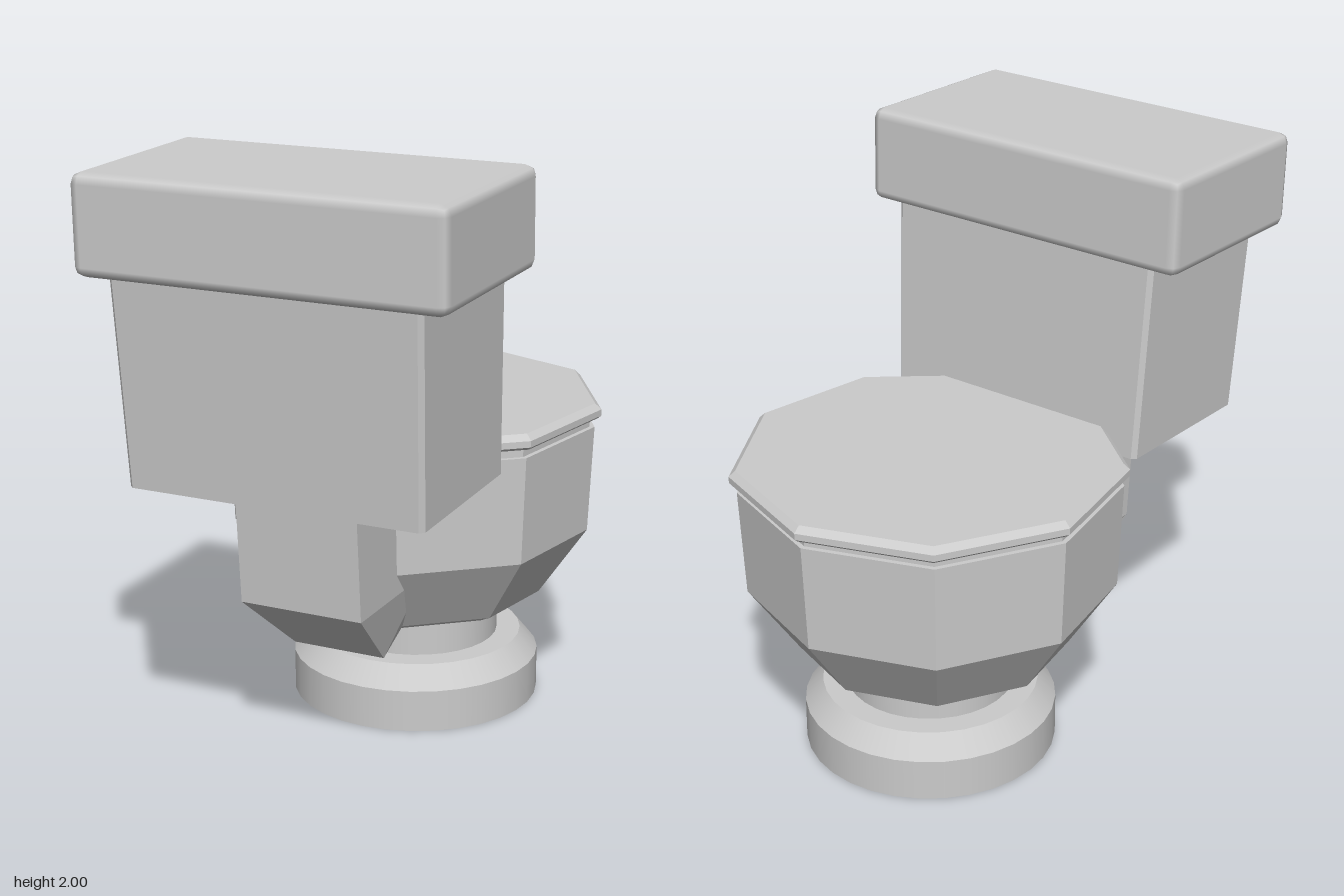
import * as THREE from 'three';
import { RoundedBoxGeometry } from 'three/addons/geometries/RoundedBoxGeometry.js';

// Skin a stack of closed rings (bottom to top, counter-clockwise from above) and cap both ends
function loft(rings) {
  const pos = [];
  const tri = (...pts) => pts.forEach((p) => pos.push(...p));
  const centre = (ring) => [0, 1, 2].map((k) => ring.reduce((s, p) => s + p[k], 0) / ring.length);
  const n = rings[0].length;
  const low = rings[0], top = rings[rings.length - 1];
  const cLow = centre(low), cTop = centre(top);
  for (let i = 0; i < n; i++) {
    const k = (i + 1) % n;
    for (let j = 0; j < rings.length - 1; j++) {
      const lo = rings[j], hi = rings[j + 1];
      tri(lo[i], lo[k], hi[k], lo[i], hi[k], hi[i]);
    }
    tri(cLow, low[k], low[i], cTop, top[i], top[k]);
  }
  const geo = new THREE.BufferGeometry();
  geo.setAttribute('position', new THREE.Float32BufferAttribute(pos, 3));
  geo.computeVertexNormals();
  return geo;
}

// Nine-sided ring with one corner pointing to the bowl's tip (-z)
const nonagon = (r, y, cz) => Array.from({ length: 9 }, (_, i) => {
  const a = (i / 9) * Math.PI * 2;
  return [-r * Math.sin(a), y, cz - r * Math.cos(a)];
});

// Rectangle with clipped corners; y may differ between the z0 and z1 edges
function clippedRect(x0, x1, z0, z1, y0, y1, c) {
  const outline = [
    [x0 + c, z1], [x1 - c, z1], [x1, z1 - c], [x1, z0 + c],
    [x1 - c, z0], [x0 + c, z0], [x0, z0 + c], [x0, z1 - c],
  ];
  return outline.map(([x, z]) => [x, y0 + ((y1 - y0) * (z - z0)) / (z1 - z0), z]);
}

export function createModel() {
  const group = new THREE.Group();
  const flat = new THREE.MeshStandardMaterial({ color: 0xcccccc, flatShading: true });
  const smooth = new THREE.MeshStandardMaterial({ color: 0xcccccc });
  const add = (name, geo, mat = flat) => {
    const mesh = new THREE.Mesh(geo, mat);
    mesh.name = name;
    group.add(mesh);
    return mesh;
  };

  // Round foot and neck: separate frusta keep the edges between them crisp
  const px = 0.018, pz = -0.255;
  const frustum = (name, rTop, rLow, y0, y1) =>
    add(name, new THREE.CylinderGeometry(rTop, rLow, y1 - y0, 32), smooth)
      .position.set(px, (y0 + y1) / 2, pz);
  frustum('foot', 0.432, 0.432, 0, 0.145);
  frustum('footShoulder', 0.37, 0.432, 0.145, 0.22);
  frustum('neck', 0.288, 0.288, 0.2, 0.42);

  // Faceted bowl
  add('bowl', loft([
    nonagon(0.41, 0.365, -0.255),
    nonagon(0.46, 0.39, -0.255),
    nonagon(0.622, 0.63, -0.262),
    nonagon(0.637, 1.0, -0.265),
  ]));

  // Seat and closed cover, separated by a thin recess
  add('seat', loft([nonagon(0.62, 0.995, -0.265), nonagon(0.62, 1.036, -0.265)]));
  add('cover', loft([
    nonagon(0.645, 1.03, -0.27),
    nonagon(0.657, 1.04, -0.27),
    nonagon(0.657, 1.062, -0.27),
    nonagon(0.635, 1.082, -0.27),
  ]));

  // Block joining the bowl to the tank
  const blockRing = (w, zBack, yBack, yFront) => [
    [-w, yBack, zBack], [w, yBack, zBack], [w, yFront, 0.1], [-w, yFront, 0.1],
  ];
  add('rearBlock', loft([
    blockRing(0.165, 0.315, 0.33, 0.42),
    blockRing(0.215, 0.585, 0.56, 0.56),
    blockRing(0.215, 0.62, 1.0, 1.0),
  ]));

  // Leaning, slightly flared tank
  add('tank', loft([
    clippedRect(-0.475, 0.54, 0.225, 0.828, 1.0, 0.985, 0.015),
    clippedRect(-0.493, 0.556, 0.262, 0.88, 1.7, 1.68, 0.015),
  ]));

  // Tank lid with softened edges, tilted back a little
  const lid = add('tankLid', new RoundedBoxGeometry(1.247, 0.325, 0.69, 1, 0.035), smooth);
  lid.position.set(0.023, 1.828, 0.57);
  lid.rotation.x = 0.022;

  return group;
}
